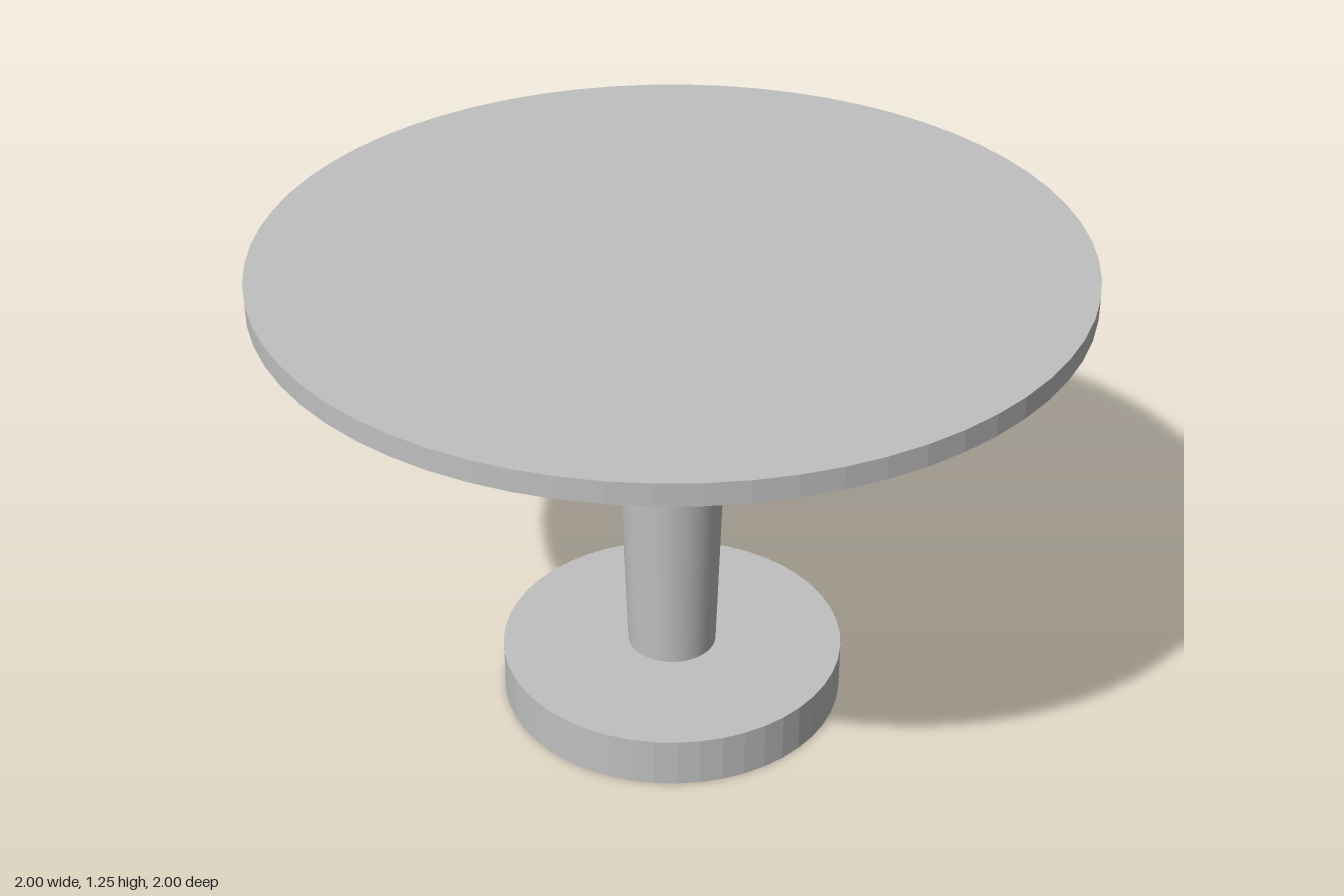
import * as THREE from 'three';

export function createModel() {
  const group = new THREE.Group();
  const grey = new THREE.MeshStandardMaterial({ color: 0xc0c0c0 });
  grey.name = 'light grey';
  const facetedGrey = grey.clone();
  facetedGrey.name = 'light grey faceted';
  facetedGrey.flatShading = true;

  // Upright round part standing between two heights
  function addRound(name, topRadius, bottomRadius, y0, y1, sides, material) {
    const geometry = new THREE.CylinderGeometry(topRadius, bottomRadius, y1 - y0, sides);
    const mesh = new THREE.Mesh(geometry, material);
    mesh.name = name;
    mesh.position.y = (y0 + y1) / 2;
    group.add(mesh);
  }

  // Heavy foot, tapered column widening upward, thin round top
  addRound('base', 0.44, 0.44, 0, 0.13, 48, facetedGrey);
  addRound('column', 0.148, 0.114, 0.13, 1.195, 48, grey);
  addRound('tableTop', 1, 1, 1.195, 1.25, 64, facetedGrey);

  group.name = 'pedestalTable';
  return group;
}
